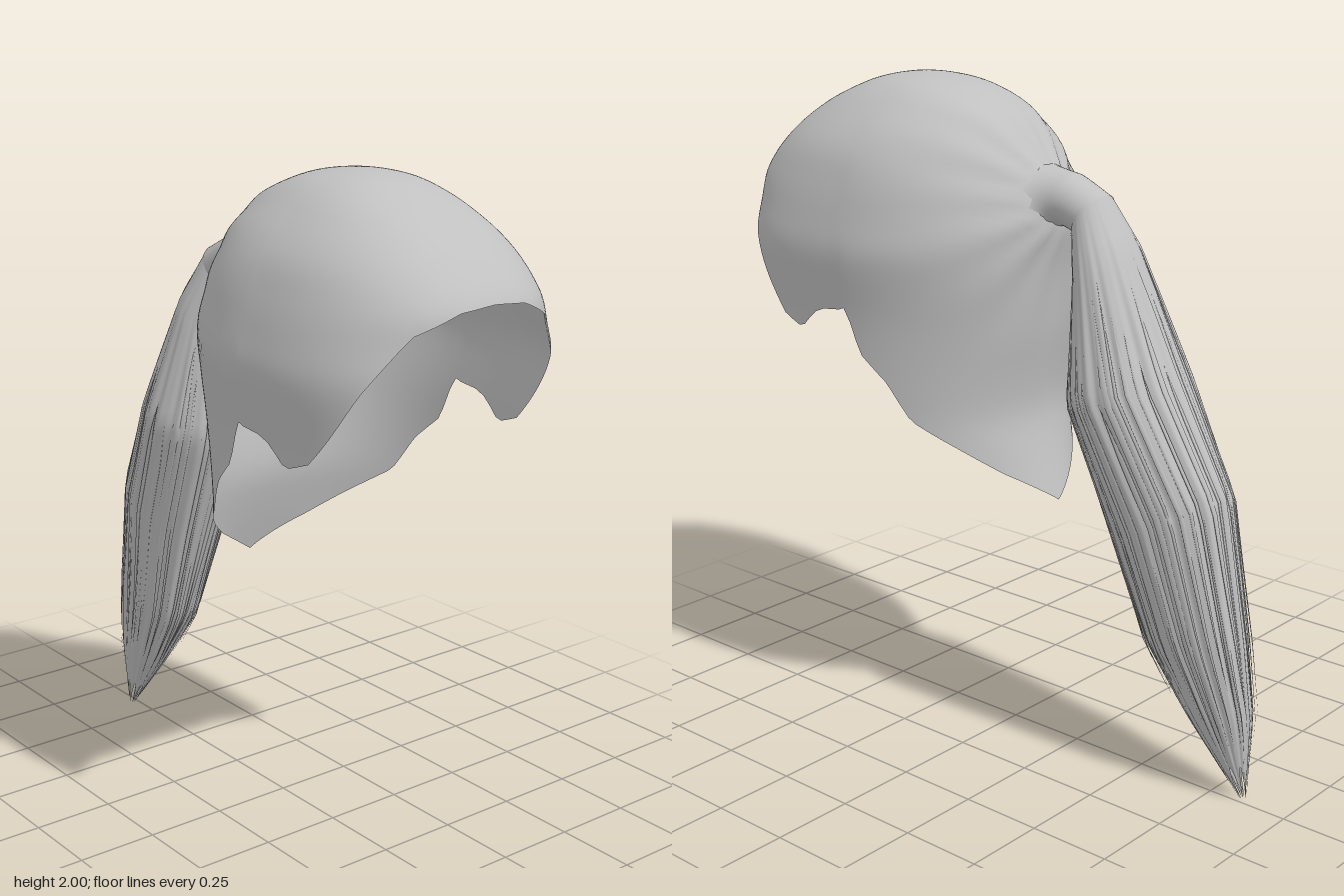
import * as THREE from 'three';

// Smooth (or straight) interpolation in a table of rows [key, ...values]
function sample(rows, key, smooth = false) {
  let i = 0;
  while (i < rows.length - 2 && key > rows[i + 1][0]) i++;
  const a = rows[i], b = rows[i + 1];
  const p = rows[Math.max(i - 1, 0)], n = rows[Math.min(i + 2, rows.length - 1)];
  const h = b[0] - a[0];
  const t = THREE.MathUtils.clamp((key - a[0]) / h, 0, 1);
  return a.slice(1).map((av, k) => {
    const bv = b[k + 1];
    if (!smooth) return av + (bv - av) * t;
    const m0 = (bv - p[k + 1]) / (b[0] - p[0]) * h;
    const m1 = (n[k + 1] - av) / (n[0] - a[0]) * h;
    const t2 = t * t, t3 = t2 * t;
    return (2 * t3 - 3 * t2 + 1) * av + (t3 - 2 * t2 + t) * m0
      + (3 * t2 - 2 * t3) * bv + (t3 - t2) * m1;
  });
}

// Surface closed around angle a, running along v from 0 to 1
function loft(point, around, along) {
  const pos = [], index = [];
  for (let j = 0; j <= along; j++) {
    for (let i = 0; i < around; i++) pos.push(...point(i / around * Math.PI * 2, j / along));
  }
  for (let j = 0; j < along; j++) {
    for (let i = 0; i < around; i++) {
      const k = (i + 1) % around;
      const a = j * around + i, b = j * around + k, c = a + around, d = b + around;
      index.push(a, c, b, b, c, d);
    }
  }
  const g = new THREE.BufferGeometry();
  g.setAttribute('position', new THREE.Float32BufferAttribute(pos, 3));
  g.setIndex(index);
  g.computeVertexNormals();
  return g;
}

// Hairline height by angle in degrees, 0 at the front and 180 at the nape
const HAIRLINE = [
  [0, 1.71], [13, 1.7], [30, 1.65], [48, 1.5], [70, 1.29], [79, 1.26], [86, 1.33],
  [93, 1.35], [99, 1.22], [111, 1.14], [121, 1.03], [138, 0.95], [154, 0.87], [180, 0.765],
];
// Cap outline by root of the depth below the crown: half width, front z, back z
const CAP = [
  [0, 0, 0.35, 0.35], [0.141, 0.13, 0.49, 0.18], [0.224, 0.19, 0.57, 0.09],
  [0.316, 0.25, 0.67, 0], [0.447, 0.335, 0.8, -0.08], [0.548, 0.375, 0.88, -0.13],
  [0.632, 0.4, 0.88, -0.165], [0.707, 0.415, 0.88, -0.165], [0.837, 0.395, 0.87, -0.14],
  [0.975, 0.392, 0.8, -0.1], [1.04, 0.38, 0.8, -0.125], [1.11, 0.34, 0.8, -0.17],
];
const MID = 0.34;

// Backward pull of the hair toward the tie
const pull = (x, y) => 0.04 * Math.exp(-(x * x + (y - 1.67) ** 2) / 0.0169);

function capPoint(a, v) {
  const deg = THREE.MathUtils.radToDeg(a > Math.PI ? Math.PI * 2 - a : a);
  const s = v * Math.sqrt(2 - sample(HAIRLINE, deg)[0]);
  const [w, front, back] = sample(CAP, s, true);
  const sn = Math.sin(a), cs = Math.cos(a);
  // the front is squarer than the back, more so toward the ears
  const e = cs > 0 ? 0.82 - 0.14 * THREE.MathUtils.smoothstep(s, 0.5, 0.72) : 1;
  let x = w * Math.sign(sn) * Math.abs(sn) ** e;
  const y = 2 - s * s;
  let z = MID + (cs > 0 ? front - MID : MID - back) * Math.sign(cs) * Math.abs(cs) ** e;
  // soft ridges fanning out from the tie
  if (z < MID) {
    const d = Math.hypot(x, y - 1.67);
    const ridge = Math.sin(Math.atan2(y - 1.67, Math.abs(x)) * 13)
      * 0.004 * Math.min(1, d / 0.1) * Math.exp(-((d / 0.35) ** 2));
    z -= pull(x, y) + ridge;
    x += Math.sign(x) * ridge * 0.6;
  }
  return [x, y, z];
}

// Back surface of the cap, where the neck grows out of it
function capBackZ(x, y) {
  const [w, , back] = sample(CAP, Math.sqrt(2 - y), true);
  return MID - (MID - back) * Math.sqrt(1 - (x / w) ** 2) - pull(x, y);
}

// Gathered neck: v, y, z, half width, half height
const NECK = [
  [0, 1.67, -0.12, 0.125, 0.1], [0.3, 1.675, -0.18, 0.092, 0.085],
  [0.6, 1.67, -0.22, 0.08, 0.073], [1, 1.64, -0.29, 0.076, 0.059],
];
function neckPoint(a, v) {
  const [cy, cz, w, h] = sample(NECK, v, true);
  const x = -w * Math.sin(a), y = cy + h * Math.cos(a);
  const free = cz - 0.7 * v * v * h * Math.cos(a);
  const root = capBackZ(x, y) + 0.006 * (1 - v);
  return [x, y, THREE.MathUtils.lerp(root, free, Math.min(1, v / 0.5))];
}

// Ponytail: v, inner z and y, outer z and y, half width
const TAIL = [
  [0, -0.24, 1.58, -0.33, 1.7, 0.078], [0.1, -0.26, 1.43, -0.42, 1.57, 0.125],
  [0.33, -0.25, 1.1, -0.6, 1.21, 0.187], [0.55, -0.4, 0.72, -0.77, 0.9, 0.147],
  [0.75, -0.52, 0.42, -0.84, 0.5, 0.105], [0.88, -0.66, 0.22, -0.87, 0.26, 0.065],
  [1, -0.84, 0, -0.86, 0.01, 0.008],
];
function tailPoint(a, v, scale = 1) {
  const [iz, iy, oz, oy, w] = sample(TAIL, v);
  const c = Math.cos(a) * scale;
  return [
    w * scale * Math.sin(a) - 0.02 * v ** 4,
    (iy + oy) / 2 + c * (iy - oy) / 2,
    (iz + oz) / 2 + c * (iz - oz) / 2,
  ];
}

function seededRandom(seed) {
  return () => {
    seed = (seed * 16807) % 2147483647;
    return seed / 2147483647;
  };
}

export function createModel() {
  const model = new THREE.Group();
  const hair = new THREE.MeshStandardMaterial({ color: 0xc0c0c0, side: THREE.DoubleSide });
  hair.name = 'grey hair';
  const add = (parent, name, geometry) => {
    const mesh = new THREE.Mesh(geometry, hair);
    mesh.name = name;
    parent.add(mesh);
  };

  add(model, 'hairCap', loft(capPoint, 144, 48));
  add(model, 'ponytailNeck', loft(neckPoint, 40, 20));

  // softly grooved body of the ponytail, with a ragged end
  const ponytail = new THREE.Group();
  ponytail.name = 'ponytail';
  model.add(ponytail);
  const body = (a, v) => {
    const end = 0.975 + 0.025 * Math.cos(a * 9);
    const groove = 0.02 * Math.sin(a * 17) + 0.012 * Math.sin(a * 29);
    return tailPoint(a, v * end, 0.98 + Math.min(1, v * 4) * groove);
  };
  add(ponytail, 'ponytailBody', loft(body, 160, 40));

  // flat locks lying on the body, loosening into wisps of uneven length
  const random = seededRandom(77);
  const count = 40;
  for (let n = 0; n < count; n++) {
    const angle = n / count * Math.PI * 2 + (random() - 0.5) * 0.08;
    const start = 0.04 + random() * 0.3, end = 0.82 + random() * 0.14;
    const lift = random() * 0.02, flare = random() * 0.2;
    const width = 0.03 + random() * 0.04;
    add(ponytail, 'lock', loft((a, v) => {
      const t = start + (end - start) * v;
      const taper = Math.min(1, v * 6) * (1 - v ** 4) + 0.01;
      const scale = 0.975 + lift + flare * v ** 4 + 0.015 * taper * Math.cos(a);
      return tailPoint(angle + width * taper * Math.sin(a), t, scale);
    }, 6, 20));
  }
  return model;
}
